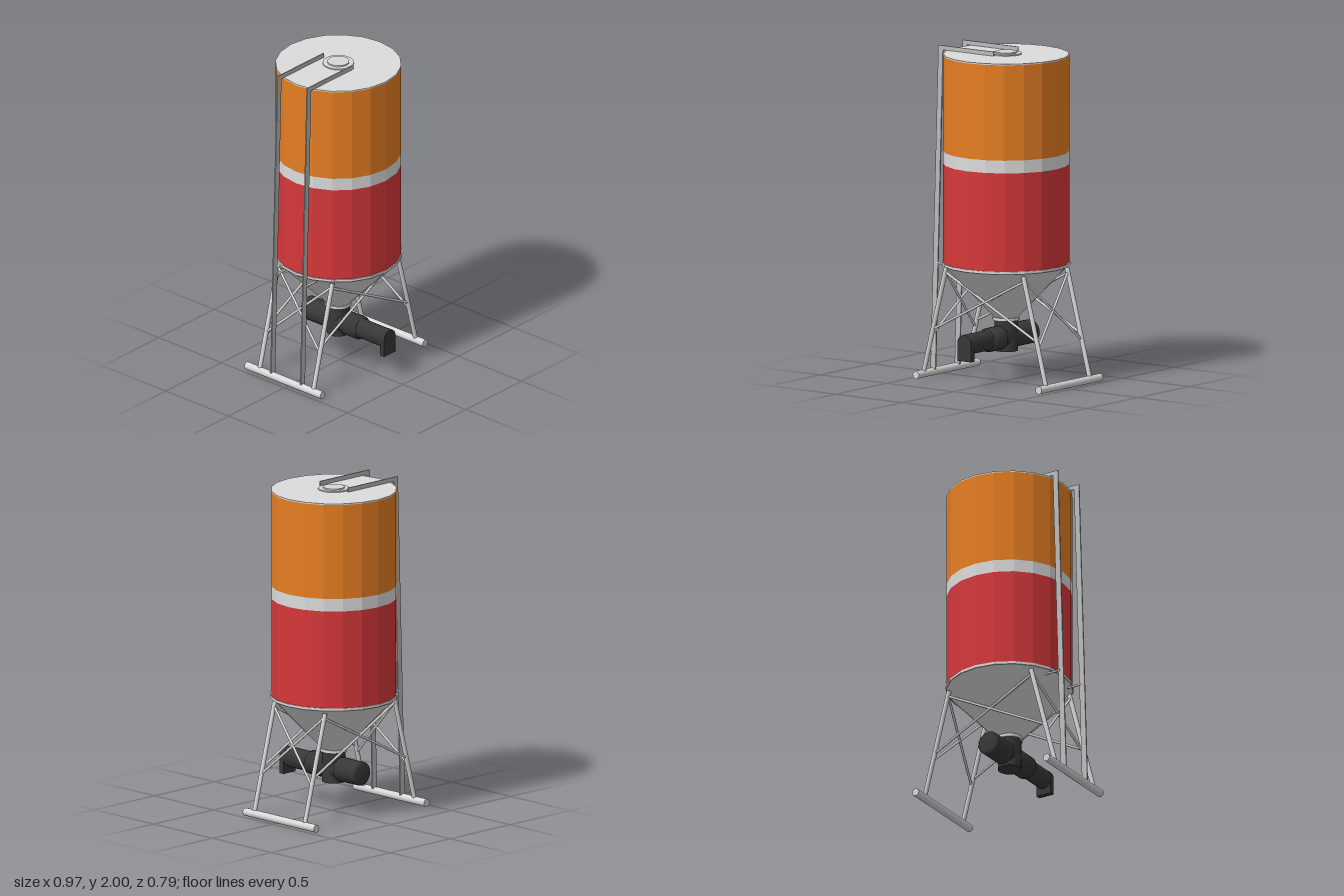
import * as THREE from 'three';

const mat = (name, color, flatShading = false) => {
  const m = new THREE.MeshStandardMaterial({ color, flatShading });
  m.name = name;
  return m;
};

export function createModel() {
  const group = new THREE.Group();
  const orange = mat('orange paint', 0xe67e22, true);
  const red = mat('red paint', 0xd6383a, true);
  const grey = mat('light grey steel', 0xdcdcdc, true);
  const pipe = mat('pipe steel', 0xd8d8d8);
  const rail = mat('ladder steel', 0xbcbcbc);
  const dark = mat('dark metal', 0x383838);
  const CZ = -0.013; // silo axis

  const add = (name, geo, material, x = 0, y = 0, z = 0) => {
    const mesh = new THREE.Mesh(geo, material);
    mesh.name = name;
    mesh.position.set(x, y, z);
    group.add(mesh);
    return mesh;
  };
  // Vertical frustum between two heights on the silo axis
  const drum = (name, y0, y1, r0, r1, material, sides = 20) =>
    add(name, new THREE.CylinderGeometry(r1, r0, y1 - y0, sides), material, 0, (y0 + y1) / 2, CZ);
  // Round bar between two points
  const bar = (name, a, b, r, material = pipe, sides = 12) => {
    const p = new THREE.Vector3(...a), q = new THREE.Vector3(...b);
    const d = q.clone().sub(p);
    const mesh = add(name, new THREE.CylinderGeometry(r, r, d.length(), sides), material);
    mesh.position.copy(p).add(q).multiplyScalar(0.5);
    mesh.quaternion.setFromUnitVectors(new THREE.Vector3(0, 1, 0), d.normalize());
    return mesh;
  };

  // Silo body
  drum('lowerShell', 0.715, 1.313, 0.376, 0.376, red);
  drum('stripe', 1.313, 1.39, 0.376, 0.376, grey);
  drum('upperShell', 1.39, 1.965, 0.376, 0.376, orange);
  drum('roof', 1.965, 1.973, 0.376, 0.376, grey);
  drum('bottomRim', 0.704, 0.72, 0.382, 0.382, grey);
  drum('hopper', 0.385, 0.704, 0.07, 0.376, grey);
  drum('hopperCollar', 0.37, 0.388, 0.08, 0.08, grey);
  drum('hatchRing', 1.973, 1.98, 0.093, 0.093, pipe, 32);
  drum('hatchLid', 1.98, 1.988, 0.065, 0.065, pipe, 32);

  // Discharge housing and auger
  drum('dischargeHousing', 0.185, 0.372, 0.07, 0.07, dark, 20);
  const profile = [[0, -0.26], [0.06, -0.26], [0.072, -0.248], [0.072, -0.08], [0.064, -0.08],
    [0.064, 0.06], [0.072, 0.06], [0.072, 0.17], [0, 0.17]];
  const motor = add('augerMotor', new THREE.LatheGeometry(
    profile.map(([r, z]) => new THREE.Vector2(r, z)), 20), dark, 0, 0.269, 0);
  motor.rotation.x = Math.PI / 2;
  const tube = bar('augerTube', [0, 0.269, 0.16], [0, 0.269, 0.37], 0.062, dark, 20);
  tube.scale.x = 0.81;

  // Downward spout with a rounded top
  const hood = new THREE.Shape();
  hood.moveTo(-0.05, 0.17);
  hood.lineTo(0.05, 0.17);
  hood.lineTo(0.05, 0.28);
  hood.absarc(0, 0.28, 0.05, 0, Math.PI, false);
  hood.closePath();
  add('spout', new THREE.ExtrudeGeometry(hood, { depth: 0.033, bevelEnabled: false }), dark, 0, 0, 0.363);

  // Support frame
  const legZ = [0.195, -0.232];
  const legX = y => 0.46 - 0.17 * (y - 0.03) / 0.65;
  for (const s of [-1, 1]) {
    bar('foot', [s * 0.46, 0.026, 0.27], [s * 0.46, 0.026, -0.333], 0.0235, pipe, 16);
    for (const z of legZ) {
      bar('leg', [s * 0.46, 0.03, z], [s * legX(0.685), 0.685, z], 0.014);
      bar('crossBrace', [s * legX(0.655), 0.655, z], [-s * legX(0.3), 0.3, z], 0.008, pipe, 8);
    }
    bar('sideBrace', [s * legX(0.66), 0.66, legZ[0]], [s * legX(0.26), 0.26, legZ[1]], 0.008, pipe, 8);
    bar('sideBrace', [s * legX(0.66), 0.66, legZ[1]], [s * legX(0.26), 0.26, legZ[0]], 0.008, pipe, 8);
  }

  // Flat rails climbing the right side and folding over the roof
  const strip = new THREE.Shape([[-0.474, 0.04], [-0.437, 0.04], [-0.381, 1.974], [0, 1.974],
    [0, 2], [-0.415, 2]].map(([x, y]) => new THREE.Vector2(x, y)));
  for (const z of [0.105, -0.131]) {
    add('ladderRail', new THREE.ExtrudeGeometry(strip, { depth: 0.008, bevelEnabled: false }),
      rail, 0, 0, z - 0.004);
    bar('railBracket', [-0.43, 0.685, z], [-0.33, 0.685, z], 0.007, pipe, 8);
  }
  return group;
}
